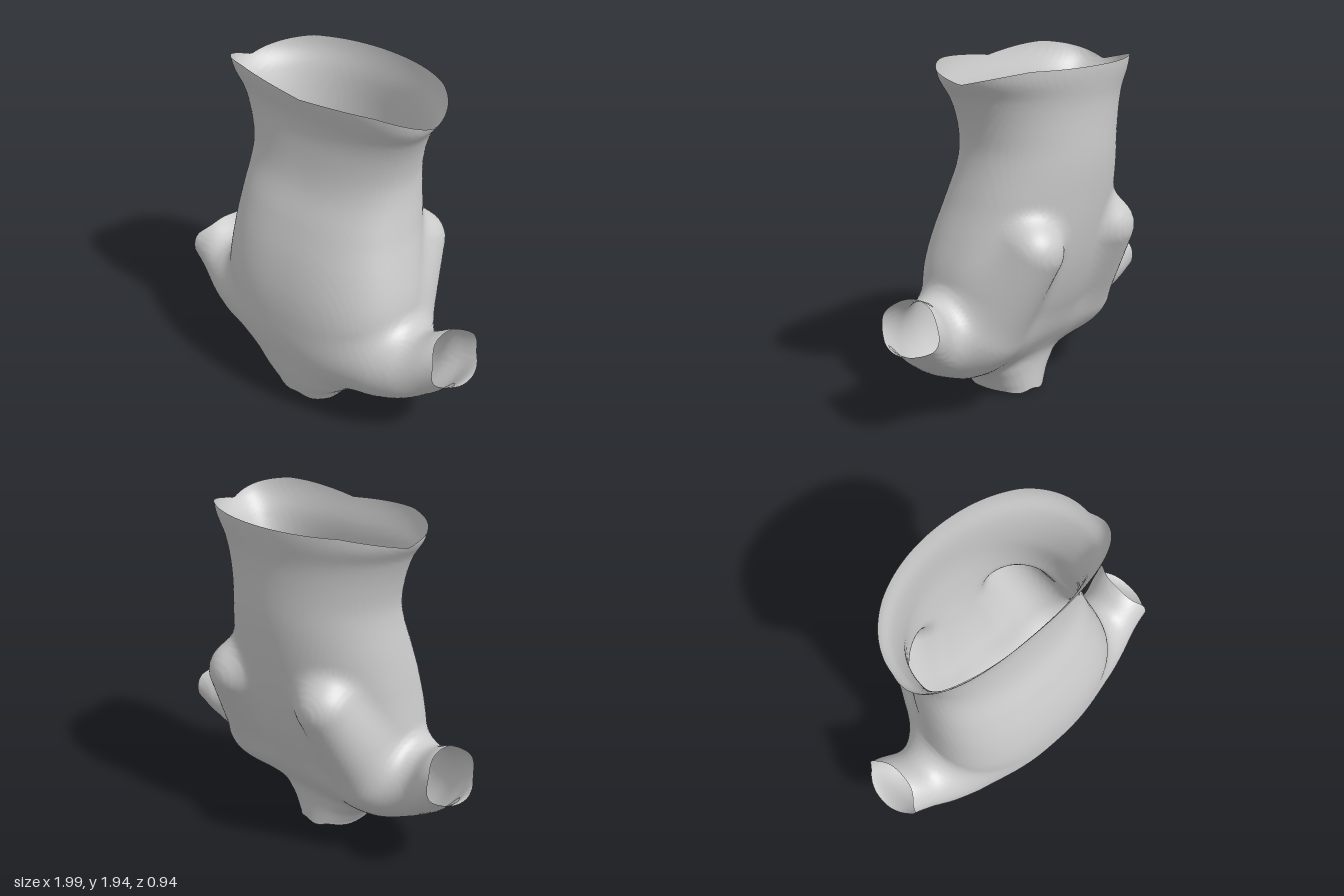
import * as THREE from 'three';
import { mergeVertices } from 'three/addons/utils/BufferGeometryUtils.js';

// Smooth curve through [position, value] pairs, constant beyond both ends
function curve(pts) {
  const n = pts.length;
  const slope = pts.map((p, i) => {
    if (i === 0 || i === n - 1) return 0;
    return (pts[i + 1][1] - pts[i - 1][1]) / (pts[i + 1][0] - pts[i - 1][0]);
  });
  return (s) => {
    if (s <= pts[0][0]) return pts[0][1];
    if (s >= pts[n - 1][0]) return pts[n - 1][1];
    let i = 0;
    while (s > pts[i + 1][0]) i++;
    const h = pts[i + 1][0] - pts[i][0], t = (s - pts[i][0]) / h, u = 1 - t;
    return u * u * (1 + 2 * t) * pts[i][1] + t * t * (3 - 2 * t) * pts[i + 1][1]
      + h * t * u * (u * slope[i] - t * slope[i + 1]);
  };
}

// Trunk profile along y, from the neck up to the flared waist
const trunk = {
  width: curve([[0, 0.185], [0.05, 0.215], [0.11, 0.262], [0.17, 0.33], [0.35, 0.46], [0.5, 0.55], [0.7, 0.605],
    [0.8, 0.605], [1, 0.575], [1.2, 0.54], [1.45, 0.508], [1.6, 0.53], [1.75, 0.585], [1.85, 0.65], [1.96, 0.665]]),
  front: curve([[0, 0.35], [0.06, 0.365], [0.2, 0.41], [0.4, 0.45], [0.6, 0.468], [0.8, 0.455], [1, 0.41], [1.2, 0.34],
    [1.4, 0.26], [1.6, 0.225], [1.75, 0.225], [1.96, 0.275]]),
  back: curve([[0, -0.07], [0.2, -0.075], [0.3, -0.12], [0.4, -0.18], [0.6, -0.28], [0.8, -0.35], [1, -0.395],
    [1.2, -0.425], [1.4, -0.443], [1.7, -0.445], [1.92, -0.472]]),
  middle: curve([[0, 0.13], [0.5, 0.1], [0.9, 0.06], [1.4, -0.02], [1.9, 0]]),
  shift: curve([[0.8, 0], [1.2, -0.025], [1.6, -0.03], [1.95, -0.022]]),
};

// Shoulder and sleeve profile along |x|
const sleeve = {
  bottom: curve([[0, 0.25], [0.3, 0.19], [0.5, 0.205], [0.65, 0.26], [0.75, 0.315], [0.85, 0.385], [1, 0.5]]),
  top: curve([[0, 0.75], [0.5, 0.74], [0.65, 0.705], [0.72, 0.7], [0.84, 0.755], [1, 0.78]]),
  front: curve([[0, 0.42], [0.3, 0.41], [0.5, 0.385], [0.65, 0.34], [0.8, 0.285], [0.9, 0.262], [1, 0.255]]),
  back: curve([[0, -0.18], [0.5, -0.17], [0.65, -0.11], [0.74, -0.09], [0.85, -0.12], [1, -0.145]]),
};

const blend = (a, b, k) => {
  const h = Math.max(k - Math.abs(a - b), 0) / k;
  return Math.min(a, b) - h * h * k / 4;
};

function trunkField(x, y, z) {
  const w = trunk.width(y), m = trunk.middle(y);
  const ahead = z > m;
  const d = ahead ? trunk.front(y) - m : m - trunk.back(y);
  const n = ahead ? 2.5 : 2.05;
  const q = (Math.abs(x - trunk.shift(y)) / w) ** n + (Math.abs(z - m) / d) ** n;
  return (q ** (1 / n) - 1) * Math.min(w, d);
}

function sleeveField(x, y, z) {
  const b = sleeve.bottom(x), t = sleeve.top(x), f = sleeve.front(x), k = sleeve.back(x);
  const h = (t - b) / 2, d = (f - k) / 2;
  return (Math.hypot((y - (t + b) / 2) / h, (z - (f + k) / 2) / d) - 1) * Math.min(h, d);
}

// Shoulder blade: a rounded ridge that widens downwards into the shoulder
const upper = new THREE.Vector3(0.345, 0.955, -0.295);
const ridge = new THREE.Vector3(0.42, 0.52, -0.04).sub(upper);
const probe = new THREE.Vector3();
function bladeField(x, y, z) {
  probe.set(x, y, z).sub(upper);
  const t = THREE.MathUtils.clamp(probe.dot(ridge) / ridge.lengthSq(), 0, 1);
  return probe.addScaledVector(ridge, -t).length() - (0.163 + 0.04 * t);
}

function field(x, y, z) {
  const ax = Math.abs(x);
  const body = blend(trunkField(x, y, z), sleeveField(ax, y, z), 0.07);
  return blend(body, bladeField(ax, y, z), 0.09);
}

// Openings: each function is positive on the part cut away
const cuff = curve([[0.49, 1], [0.51, 0.985], [0.55, 0.925], [0.68, 0.9], [0.76, 0.84]]);
const openings = [
  // waist, dipping at the sides
  ({ x, y, z }) => {
    const s = z + 0.05;
    const rim = s > 0
      ? 1.84 + 0.36 * s - 0.05 * (1 - Math.min(1, Math.abs(x) / 0.45)) * Math.min(1, s * 4)
      : 1.84 + 0.07 * Math.min(1, -s / 0.3);
    return y - rim;
  },
  // neck
  ({ x, y, z }) => 0.012 + 0.35 * Math.max(0, z - 0.24) + 0.008 * Math.sin(x * 40) - y,
  // both arms
  ({ x, y }) => Math.min(Math.abs(x) - cuff(y), 0.9 - y),
];

function clip(polygon, cut) {
  const out = [];
  polygon.forEach((a, i) => {
    const b = polygon[(i + 1) % polygon.length];
    const da = cut(a), db = cut(b);
    if (da <= 0) out.push(a);
    if ((da <= 0) !== (db <= 0)) out.push(a.clone().lerp(b, da / (da - db)));
  });
  return out;
}

// Wrap the blended forms in a skin of small quads, then cut the openings
function buildShell() {
  const cell = 0.02, origin = [-1.05, -0.05, -0.55], size = [106, 104, 56];
  const step = [1, size[0], size[0] * size[1]];
  const value = new Float32Array(size[0] * size[1] * size[2]);
  const spot = (i) => [i % size[0], Math.floor(i / step[1]) % size[1], Math.floor(i / step[2])];
  const place = (g) => new THREE.Vector3(...g.map((v, a) => origin[a] + v * cell));
  for (let i = 0; i < value.length; i++) {
    const p = place(spot(i));
    value[i] = field(p.x, p.y, p.z);
  }

  // one point per crossed cell: the mean of the crossings on its edges
  const points = new Map();
  const cellPoint = (i) => {
    if (points.has(i)) return points.get(i);
    const sum = new THREE.Vector3();
    let count = 0;
    for (let corner = 0; corner < 8; corner++) {
      const from = i + step.reduce((s, d, a) => s + (corner >> a & 1) * d, 0);
      for (let a = 0; a < 3; a++) {
        const to = from + step[a];
        if (corner >> a & 1 || (value[from] < 0) === (value[to] < 0)) continue;
        const t = value[from] / (value[from] - value[to]);
        sum.add(place(spot(from)).lerp(place(spot(to)), t));
        count++;
      }
    }
    points.set(i, sum.divideScalar(count));
    return sum;
  };

  // one quad per crossed grid edge
  const position = [];
  for (let i = 0; i < value.length; i++) {
    const g = spot(i);
    if (g.some((v, a) => v < 1 || v > size[a] - 2)) continue;
    for (let a = 0; a < 3; a++) {
      if ((value[i] < 0) === (value[i + step[a]] < 0)) continue;
      const b = step[(a + 1) % 3], c = step[(a + 2) % 3];
      let polygon = [i, i - b, i - b - c, i - c].map(cellPoint);
      if (value[i] >= 0) polygon.reverse();
      for (const cut of openings) polygon = clip(polygon, cut);
      for (let k = 1; k + 1 < polygon.length; k++) {
        for (const p of [polygon[0], polygon[k], polygon[k + 1]]) position.push(p.x, p.y, p.z);
      }
    }
  }
  const geometry = new THREE.BufferGeometry();
  geometry.setAttribute('position', new THREE.Float32BufferAttribute(position, 3));
  const merged = mergeVertices(geometry, 1e-4);
  merged.computeVertexNormals();
  return merged;
}

export function createModel() {
  const group = new THREE.Group();
  group.name = 'torso';
  const material = new THREE.MeshStandardMaterial({ color: 0xcccccc, side: THREE.DoubleSide });
  const shell = new THREE.Mesh(buildShell(), material);
  shell.name = 'torsoShell';
  group.add(shell);
  return group;
}
